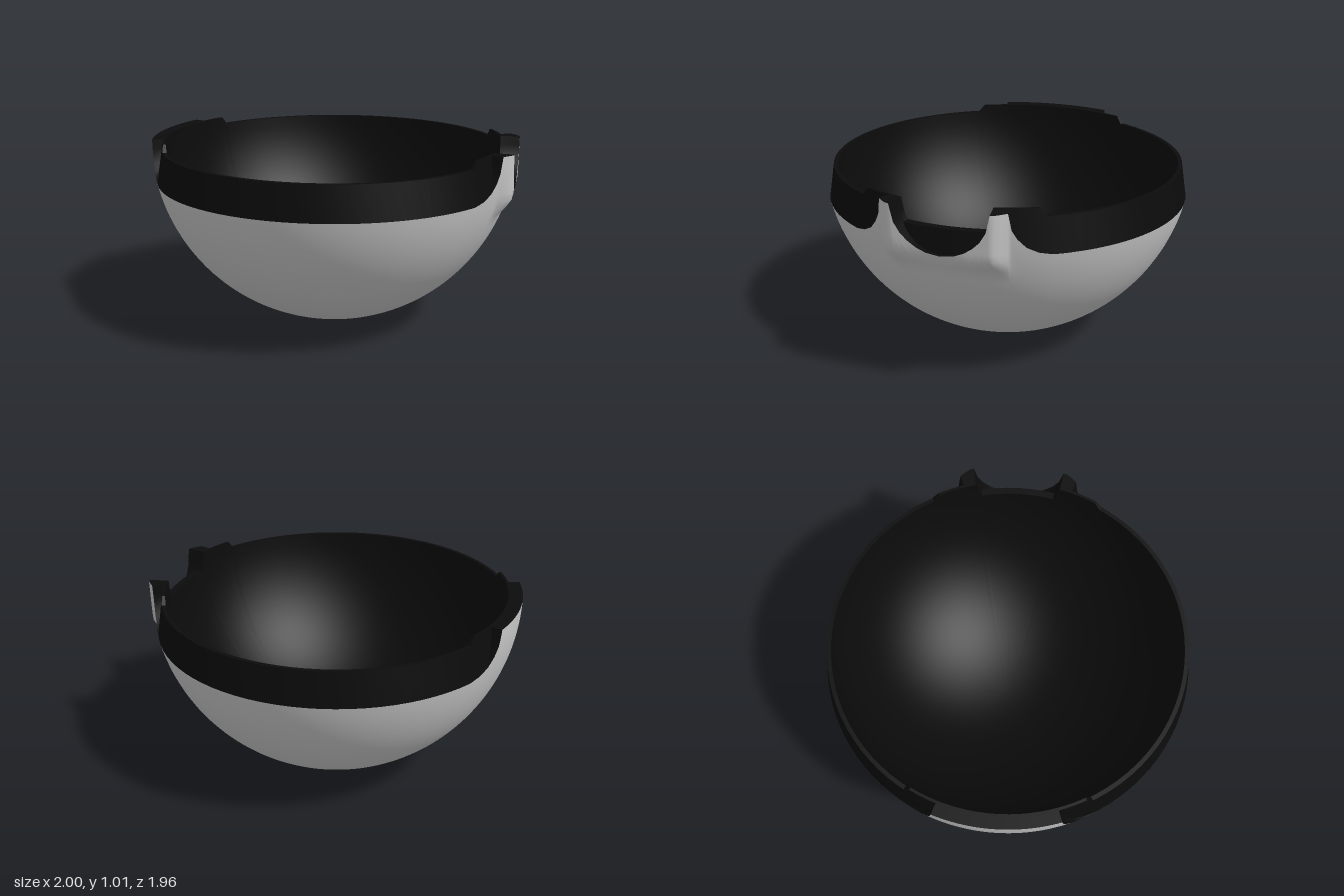
import * as THREE from 'three';
import { mergeVertices, toCreasedNormals } from 'three/addons/utils/BufferGeometryUtils.js';

const { smoothstep, lerp } = THREE.MathUtils;

// Piecewise linear lookup in a short list of [input, output] pairs
function lookup(table, v) {
  if (v <= table[0][0]) return table[0][1];
  for (let i = 1; i < table.length; i++) {
    const [a, ya] = table[i - 1], [b, yb] = table[i];
    if (v <= b) return lerp(ya, yb, (v - a) / (b - a));
  }
  return table[table.length - 1][1];
}

// Heights along the rim, by distance from the x axis
const shoulder = [[0.32, 1.01], [0.335, 0.925], [0.36, 0.88], [0.4, 0.835], [0.455, 0.805], [0.52, 0.79]];
const notch = [[0, 0.775], [0.07, 0.785], [0.12, 0.805], [0.165, 0.835], [0.2, 0.87], [0.23, 0.92], [0.25, 1.01]];
const lip = [[0.465, 1.01], [0.495, 0.97]];

function shellTop(c, s) {
  const z = Math.abs(s);
  return c > 0 && z < 0.25 ? lookup(notch, z) : lookup(shoulder, z);
}
function rimTop(c, s) {
  const z = Math.abs(s);
  return c > 0 && z < 0.25 ? Math.max(0.9, lookup(notch, z)) : lookup(lip, z);
}

// Point on the outer sphere, pushed out to a flat pad around the notch
function shellPoint(c, s, y) {
  const r = Math.sqrt(Math.max(0, 1 - (1 - y) ** 2));
  let x = r * c;
  const z = r * s;
  if (c > 0) {
    const pad = (1 - smoothstep(Math.abs(z), 0.25, 0.33)) * smoothstep(y, 0.67, 0.79);
    x = lerp(x, 1, pad);
  }
  return [x, y, z];
}

// Angles round the bowl, denser where the edge changes
function rimAngles() {
  const quarter = [0, 0.035, 0.07, 0.1, 0.12, 0.145, 0.165, 0.185, 0.2, 0.215, 0.23, 0.24, 0.25, 0.27, 0.295,
    0.32, 0.327, 0.335, 0.36, 0.38, 0.4, 0.43, 0.455, 0.465, 0.495, 0.52].map(Math.asin);
  const start = quarter[quarter.length - 1];
  for (let i = 1; i <= 14; i++) quarter.push(lerp(start, Math.PI / 2, i / 14));
  const half = [...quarter, ...quarter.slice(0, -1).reverse().map(a => Math.PI - a)];
  return [...half, ...half.slice(1).map(a => a + Math.PI)];
}

// Skin of equal-length columns, each running up the outside
function skin(columns) {
  const rows = columns[0].length, index = [];
  for (let j = 0; j < columns.length - 1; j++) {
    for (let i = 0; i < rows - 1; i++) {
      const a = j * rows + i, b = a + rows;
      index.push(a, a + 1, b + 1, a, b + 1, b);
    }
  }
  const g = new THREE.BufferGeometry();
  g.setAttribute('position', new THREE.Float32BufferAttribute(columns.flat(2), 3));
  g.setIndex(index);
  return mergeVertices(g, 1e-4);
}

function shellColumn(angle) {
  const c = Math.cos(angle), s = Math.sin(angle);
  const end = Math.acos(1 - shellTop(c, s));
  return Array.from({ length: 41 }, (_, i) => shellPoint(c, s, 1 - Math.cos(end * i / 40)));
}

// Ledge, outer band, rim and inside wall in one profile
function liningColumn(angle) {
  const c = Math.cos(angle), s = Math.sin(angle);
  const h = shellTop(c, s), top = rimTop(c, s);
  const band = y => 0.977 - 0.17 * (y - 0.79);
  const ring = (r, y) => [r * c, y, r * s];
  const column = [shellPoint(c, s, h), ring(band(h), h), ring(band(top), top)];
  const start = Math.acos((1 - top) / 0.925);
  for (let i = 0; i <= 24; i++) {
    const phi = start * (1 - i / 24);
    column.push(ring(0.925 * Math.sin(phi), 1 - 0.925 * Math.cos(phi)));
  }
  return column;
}

export function createModel() {
  const grey = new THREE.MeshStandardMaterial({ color: 0xc8c8c8 });
  grey.name = 'light grey';
  const black = new THREE.MeshStandardMaterial({ color: 0x0b0b0b });
  black.name = 'black';

  const angles = rimAngles();
  const group = new THREE.Group();
  group.name = 'bowlShell';

  // Outer half sphere with raised sides and one notch
  const shellGeometry = skin(angles.map(shellColumn));
  shellGeometry.computeVertexNormals();
  const shell = new THREE.Mesh(shellGeometry, grey);
  shell.name = 'outerShell';

  // Dark rim band and hollow inside
  const lining = new THREE.Mesh(toCreasedNormals(skin(angles.map(liningColumn)), 0.6), black);
  lining.name = 'rimAndLining';

  group.add(shell, lining);
  return group;
}
